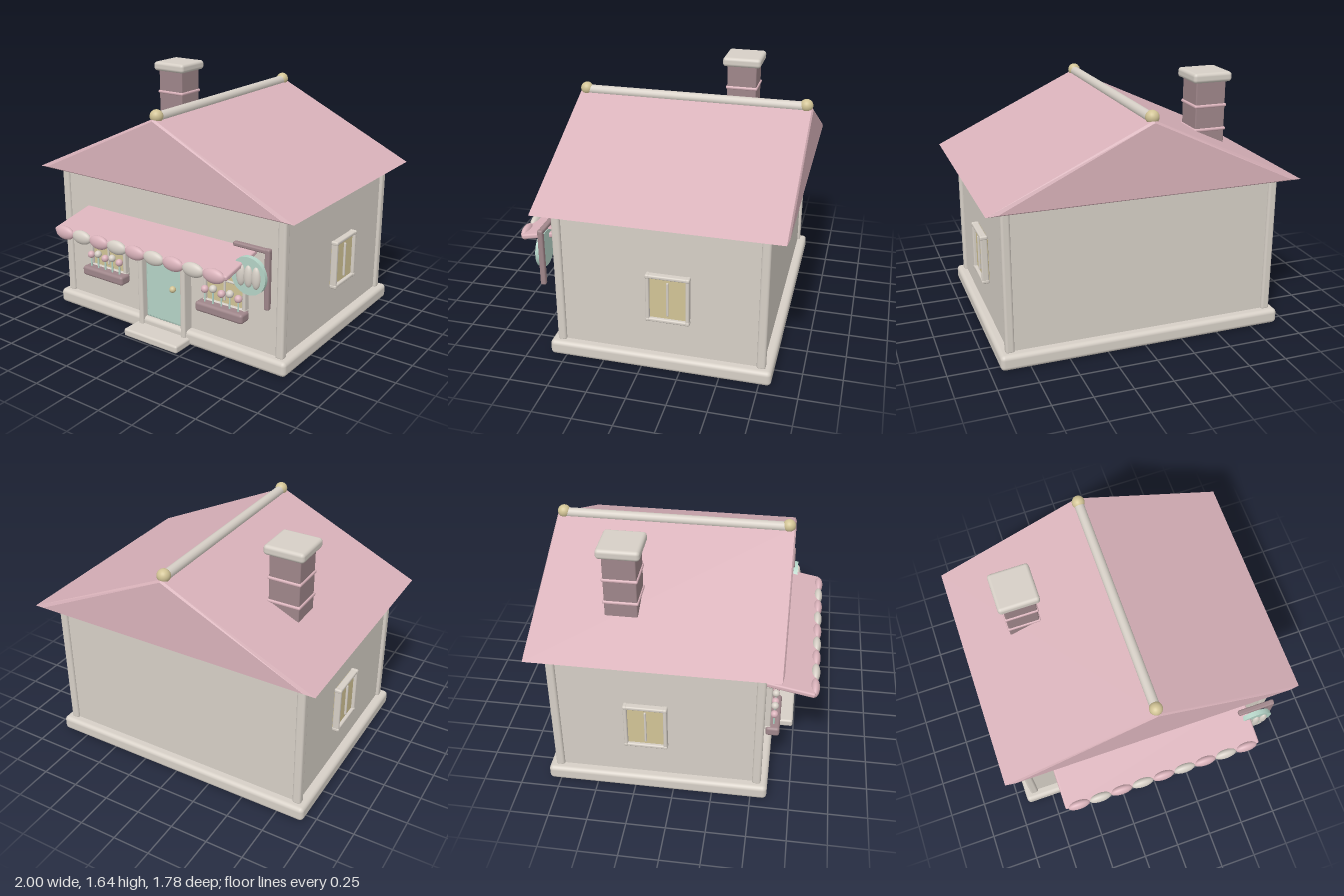
import * as THREE from 'three';
import { RoundedBoxGeometry } from 'three/addons/geometries/RoundedBoxGeometry.js';

const paint = (name, color) => {
  const m = new THREE.MeshStandardMaterial({ color });
  m.name = name;
  return m;
};

export function createModel() {
  const pink = paint('pink', 0xd9b2ba);
  const cream = paint('cream', 0xd6cfc6);
  const mauve = paint('mauve', 0x9f868a);
  const mint = paint('mint', 0xb5d4c7);
  const gold = paint('gold', 0xd2c496);

  const house = new THREE.Group();
  house.name = 'cottageShop';

  const add = (parent, name, geo, mat, x, y, z) => {
    const mesh = new THREE.Mesh(geo, mat);
    mesh.name = name;
    mesh.position.set(x, y, z);
    parent.add(mesh);
    return mesh;
  };
  // Rounded box given by its size and centre
  const box = (parent, name, mat, [w, h, d], [x, y, z], r = 0.01) =>
    add(parent, name, new RoundedBoxGeometry(w, h, d, 3, Math.min(r, w / 2.1, h / 2.1, d / 2.1)), mat, x, y, z);
  // Ellipsoid given by its radii and centre
  const ball = (parent, name, mat, [rx, ry, rz], [x, y, z]) => {
    const mesh = add(parent, name, new THREE.SphereGeometry(1, 24, 16), mat, x, y, z);
    mesh.scale.set(rx, ry, rz);
    return mesh;
  };
  const rod = (parent, name, mat, r, length, [x, y, z]) =>
    add(parent, name, new THREE.CylinderGeometry(r, r, length, 16), mat, x, y, z);

  // Plinth, walls and corner posts
  box(house, 'plinth', cream, [1.87, 0.1, 1.43], [0, 0.05, -0.11], 0.028);
  box(house, 'walls', cream, [1.75, 0.95, 1.31], [0, 0.56, -0.11], 0.01);
  for (const x of [-0.867, 0.867])
    for (const z of [-0.755, 0.535])
      box(house, 'cornerPost', cream, [0.056, 0.94, 0.056], [x, 0.56, z], 0.016);

  // Gable roof: an extruded triangle whose end faces are drawn in slightly
  const gable = new THREE.Shape([
    new THREE.Vector2(-1, 1.022), new THREE.Vector2(1, 1.022), new THREE.Vector2(0, 1.49),
  ]);
  const roofGeo = new THREE.ExtrudeGeometry(gable, { depth: 3, steps: 3, bevelEnabled: false });
  const stations = [-0.89, -0.88, 0.655, 0.665];
  const p = roofGeo.attributes.position;
  for (let i = 0; i < p.count; i++) {
    const k = Math.round(p.getZ(i));
    if (k === 0 || k === 3) {
      p.setX(i, p.getX(i) * 0.93);
      p.setY(i, 1.03 + (p.getY(i) - 1.022) * 0.95);
    }
    p.setZ(i, stations[k]);
  }
  roofGeo.computeVertexNormals();
  add(house, 'roof', roofGeo, pink, 0, 0, 0);

  // Ridge pole with ball finials
  rod(house, 'ridgePole', cream, 0.032, 1.46, [0, 1.492, -0.11]).rotation.x = Math.PI / 2;
  for (const z of [-0.845, 0.62]) ball(house, 'ridgeFinial', gold, [0.042, 0.042, 0.042], [0, 1.5, z]);

  // Chimney
  box(house, 'chimney', mauve, [0.205, 0.5, 0.205], [-0.572, 1.34, -0.343], 0.008);
  for (const y of [1.27, 1.425])
    box(house, 'chimneyBand', pink, [0.222, 0.022, 0.222], [-0.572, y, -0.343], 0.01);
  box(house, 'chimneyCap', cream, [0.265, 0.064, 0.265], [-0.572, 1.612, -0.343], 0.022);

  // Door, frame, knob and step
  box(house, 'door', mint, [0.31, 0.53, 0.05], [0, 0.365, 0.555], 0.012);
  box(house, 'doorPanel', mint, [0.28, 0.5, 0.009], [0, 0.365, 0.581], 0.004);
  for (const x of [-0.175, 0.175])
    box(house, 'doorPost', cream, [0.038, 0.63, 0.09], [x, 0.36, 0.575], 0.012);
  box(house, 'doorHeader', cream, [0.39, 0.04, 0.09], [0, 0.656, 0.575], 0.012);
  ball(house, 'doorKnob', gold, [0.022, 0.022, 0.022], [0.085, 0.364, 0.6]);
  box(house, 'doorStep', cream, [0.44, 0.054, 0.2], [0, 0.027, 0.645], 0.015);

  // Framed window facing +z, with its back on z = 0
  const makeWindow = (name, w, h, crossBar) => {
    const g = new THREE.Group();
    g.name = name;
    const t = 0.024;
    const ex = (w - t) / 2;
    const ey = (h - t) / 2;
    box(g, 'pane', gold, [w - t, h - t, 0.03], [0, 0, 0.015], 0.004);
    for (const s of [-1, 1]) {
      box(g, 'sideBar', cream, [t, h - t, 0.045], [s * ex, 0, 0.028], 0.009);
      box(g, 'crossRail', cream, [w - t, t, 0.045], [0, s * ey, 0.028], 0.009);
      for (const v of [-1, 1])
        box(g, 'corner', cream, [t + 0.004, t + 0.004, 0.05], [s * ex, v * ey, 0.028], 0.01);
    }
    box(g, 'mullion', cream, [0.014, h - 0.09, 0.016], [0, 0, 0.036], 0.006);
    if (crossBar) box(g, 'mullionCross', cream, [w - 0.09, 0.014, 0.016], [0, 0, 0.036], 0.006);
    house.add(g);
    return g;
  };

  for (const s of [-1, 1]) {
    const side = makeWindow('sideWindow', 0.275, 0.325, false);
    side.position.set(s * 0.875, 0.512, -0.172);
    side.rotation.y = s * Math.PI / 2;

    makeWindow('frontWindow', 0.32, 0.36, true).position.set(s * 0.48, 0.525, 0.545);

    // Planter with five flowers under each front window
    const planter = new THREE.Group();
    planter.name = 'planter';
    planter.position.set(s * 0.48, 0, 0.612);
    house.add(planter);
    box(planter, 'planterBox', mauve, [0.355, 0.065, 0.09], [0, 0.332, 0], 0.018);
    for (let i = 0; i < 5; i++) {
      const x = (i - 2) * 0.063;
      const y = i % 2 ? 0.464 : 0.448;
      rod(planter, 'stem', mint, 0.006, y - 0.35, [x, (y + 0.35) / 2, 0.005]);
      ball(planter, 'flower', i % 2 ? cream : pink, [0.025, 0.025, 0.025], [x, y, 0.005]);
    }
  }

  // Sloping awning with a scalloped edge
  box(house, 'awning', pink, [1.375, 0.034, 0.34], [0, 0.721, 0.695], 0.012).rotation.x = 0.195;
  for (let i = 0; i < 9; i++)
    ball(house, 'scallop', i % 2 ? cream : pink, [0.077, 0.046, 0.03], [(i - 4) * 0.1487, 0.686, 0.859]);

  // Hanging sign: bracket, round board and three loaves
  box(house, 'signPost', mauve, [0.034, 0.385, 0.036], [0.838, 0.652, 0.658], 0.01);
  box(house, 'signArm', mauve, [0.255, 0.028, 0.036], [0.728, 0.828, 0.658], 0.01);
  rod(house, 'signBoard', mint, 0.12, 0.032, [0.727, 0.66, 0.684]).geometry =
    new THREE.CylinderGeometry(0.12, 0.12, 0.032, 40);
  house.getObjectByName('signBoard').rotation.x = Math.PI / 2;
  for (let i = -1; i <= 1; i++)
    ball(house, 'signLoaf', cream, [0.03, 0.07, 0.022], [0.731 + i * 0.053, 0.66, 0.7]);

  return house;
}
